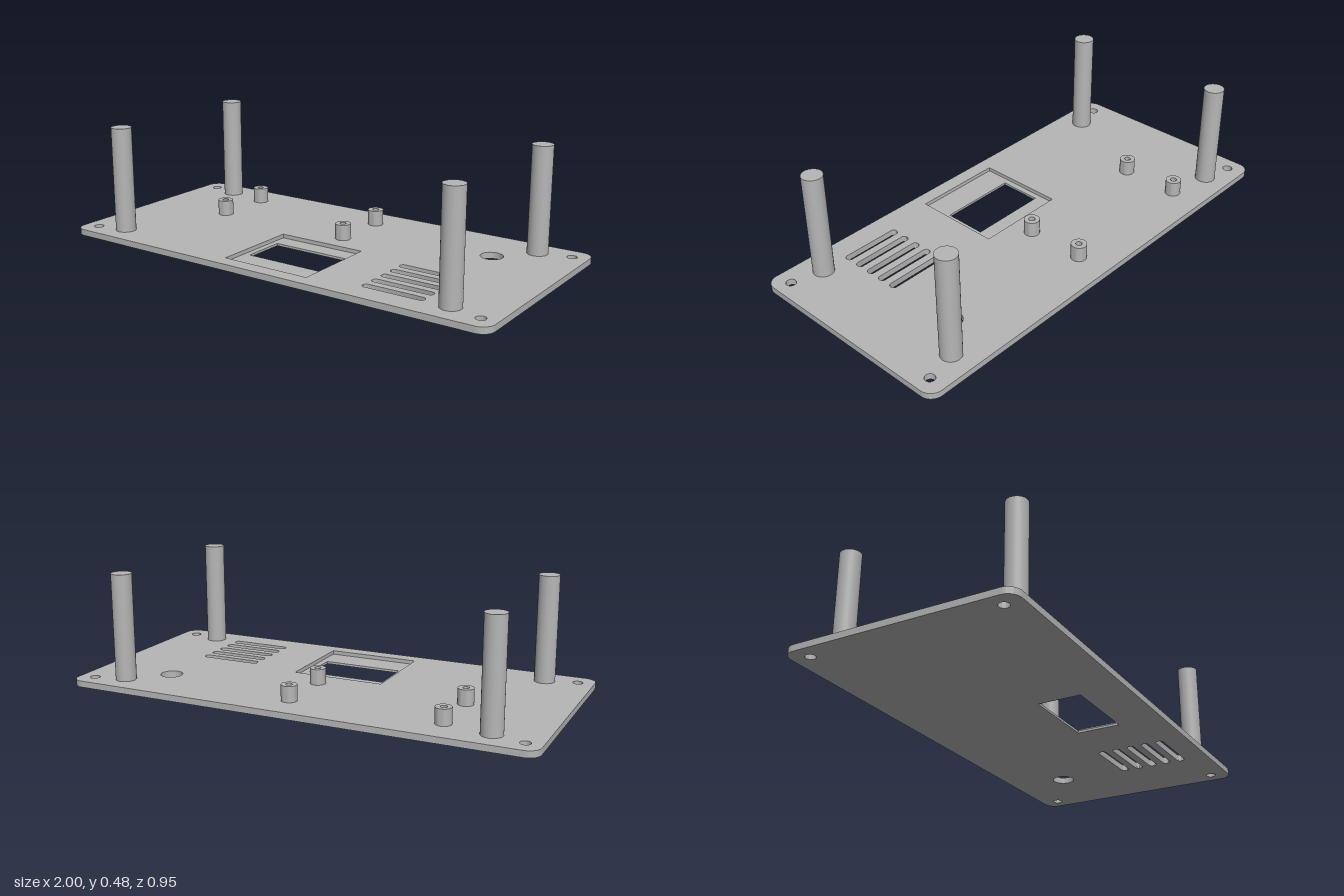
import * as THREE from 'three';
import { toCreasedNormals } from 'three/addons/utils/BufferGeometryUtils.js';

const T = 0.0267; // plate thickness
const CREASE = 0.6;

// Rounded rectangle given by its x and z ranges, drawn on (x, -z)
function roundRect(path, x0, x1, z0, z1, r = 0) {
  const a = -z1, b = -z0;
  path.moveTo(x0 + r, a);
  path.lineTo(x1 - r, a);
  if (r) path.absarc(x1 - r, a + r, r, -Math.PI / 2, 0);
  path.lineTo(x1, b - r);
  if (r) path.absarc(x1 - r, b - r, r, 0, Math.PI / 2);
  path.lineTo(x0 + r, b);
  if (r) path.absarc(x0 + r, b - r, r, Math.PI / 2, Math.PI);
  path.lineTo(x0, a + r);
  if (r) path.absarc(x0 + r, a + r, r, Math.PI, Math.PI * 1.5);
  return path;
}

function circle(x, z, r) {
  return new THREE.Path().absarc(x, -z, r, 0, Math.PI * 2);
}

// Extrude a plan shape upwards from y = 0
function slab(shape, height) {
  const g = new THREE.ExtrudeGeometry(shape, { depth: height, bevelEnabled: false, curveSegments: 16 });
  g.rotateX(-Math.PI / 2);
  return toCreasedNormals(g, CREASE);
}

export function createModel() {
  const group = new THREE.Group();
  const grey = new THREE.MeshStandardMaterial({ color: 0xb6b6b6 });
  grey.name = 'grey plastic';

  const add = (name, geometry, x = 0, y = 0, z = 0) => {
    const mesh = new THREE.Mesh(geometry, grey);
    mesh.name = name;
    mesh.position.set(x, y, z);
    group.add(mesh);
  };

  // Base plate with screw holes, cable hole, vents and display recess
  const plate = roundRect(new THREE.Shape(), -1, 1, -0.473, 0.473, 0.053);
  for (const x of [-0.933, 0.933])
    for (const z of [-0.397, 0.397]) plate.holes.push(circle(x, z, 0.021));
  plate.holes.push(circle(0.663, -0.224, 0.047));
  for (let i = 0; i < 5; i++) {
    const z = 0.087 + i * 0.0667;
    plate.holes.push(roundRect(new THREE.Path(), 0.42, 0.687, z - 0.0165, z + 0.0165, 0.0155));
  }
  plate.holes.push(roundRect(new THREE.Path(), -0.2, 0.2, 0.027, 0.41));
  add('basePlate', slab(plate, T));

  // Thin floor of the display recess with its window
  const floor = roundRect(new THREE.Shape(), -0.2, 0.2, 0.027, 0.41);
  floor.holes.push(roundRect(new THREE.Path(), -0.174, 0.172, 0.103, 0.288));
  add('displayRecessFloor', slab(floor, 0.01));

  // Tall corner posts
  const postHeight = 0.48 - T;
  const post = new THREE.CylinderGeometry(0.0435, 0.0435, postHeight, 48);
  for (const x of [-0.8, 0.797])
    for (const z of [-0.364, 0.364]) add('cornerPost', post, x, T + postHeight / 2, z);

  // Short hollow standoffs for the circuit board
  const profile = [[0.0333, 0], [0.0333, 0.0667], [0.0135, 0.0667], [0.0135, 0]]
    .map(([r, y]) => new THREE.Vector2(r, y));
  const standoff = toCreasedNormals(new THREE.LatheGeometry(profile, 32), CREASE);
  for (const x of [-0.602, 0.042])
    for (const z of [-0.328, -0.072]) add('boardStandoff', standoff, x, T, z);

  return group;
}
